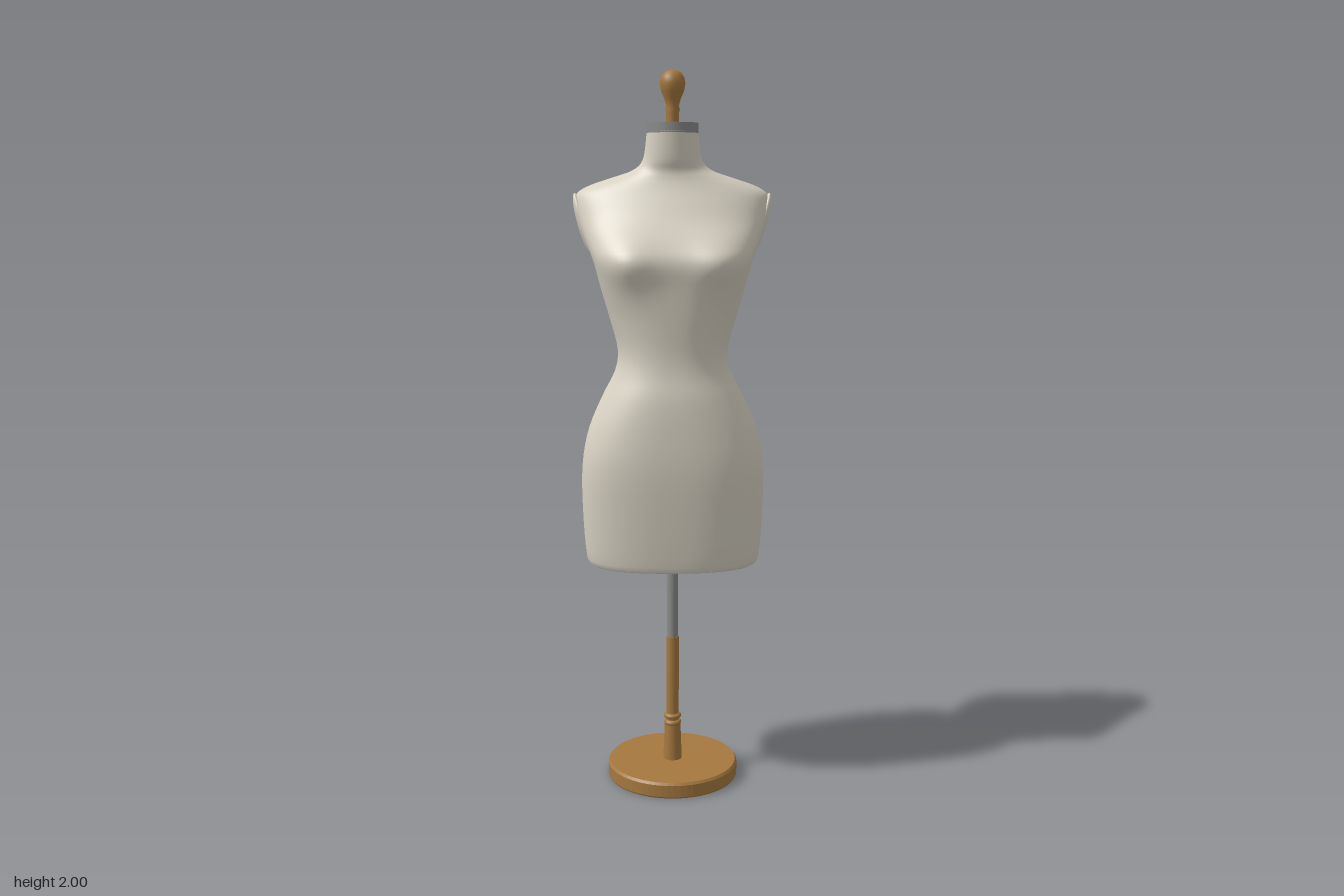
import * as THREE from 'three';

const fabric = new THREE.MeshStandardMaterial({ color: 0xd8d2c3 });
fabric.name = 'cream fabric';
const metal = new THREE.MeshStandardMaterial({ color: 0x8a8a89 });
metal.name = 'grey metal';
const wood = new THREE.MeshStandardMaterial({ color: 0xa5783f });
wood.name = 'warm wood';

// Torso sections: y, half width, front z, back z, z of widest point, front and back squareness
const SECTIONS = [
  [0.645, 0.225, 0.150, -0.165, 0.00, 2.4, 2.4],
  [0.66, 0.243, 0.158, -0.180, 0.00, 2.5, 2.4],
  [0.80, 0.253, 0.173, -0.187, 0.01, 2.5, 2.3],
  [0.93, 0.252, 0.183, -0.187, 0.02, 2.5, 2.3],
  [1.03, 0.233, 0.182, -0.172, 0.02, 2.4, 2.3],
  [1.12, 0.195, 0.176, -0.140, 0.02, 2.3, 2.2],
  [1.19, 0.160, 0.163, -0.103, 0.02, 2.3, 2.2],
  [1.25, 0.152, 0.160, -0.097, 0.02, 2.3, 2.2],
  [1.33, 0.172, 0.166, -0.115, 0.01, 2.4, 2.4],
  [1.42, 0.198, 0.174, -0.140, 0.00, 2.8, 2.5],
  [1.49, 0.217, 0.180, -0.152, -0.01, 3.2, 2.8],
  [1.54, 0.238, 0.157, -0.157, -0.03, 2.8, 3.0],
  [1.60, 0.260, 0.112, -0.157, -0.045, 2.3, 3.5],
  [1.65, 0.268, 0.080, -0.150, -0.055, 2.1, 4.0],
  [1.675, 0.260, 0.065, -0.143, -0.055, 2.0, 4.0],
  [1.695, 0.225, 0.055, -0.135, -0.055, 2.0, 3.5],
  [1.715, 0.165, 0.048, -0.122, -0.045, 2.0, 2.6],
  [1.735, 0.108, 0.046, -0.108, -0.03, 2.0, 2.0],
  [1.765, 0.080, 0.053, -0.090, -0.015, 2.0, 2.0],
  [1.837, 0.070, 0.060, -0.081, -0.01, 2.0, 2.0],
];

// Smooth curve through the sections at fractional index t
function sectionAt(t) {
  const last = SECTIONS.length - 1;
  const i = Math.min(Math.floor(t), last - 1);
  const f = t - i;
  const [p, a, b, q] = [i - 1, i, i + 1, i + 2].map((k) => SECTIONS[Math.max(0, Math.min(last, k))]);
  return a.map((v, k) => v + 0.5 * f * (b[k] - p[k]
    + f * (2 * p[k] - 5 * v + 4 * b[k] - q[k] + f * (3 * (v - b[k]) + q[k] - p[k]))));
}

function torsoGeometry() {
  const around = 96, steps = 4, rows = (SECTIONS.length - 1) * steps;
  const pos = [], index = [];
  for (let r = 0; r <= rows; r++) {
    const [y, w, zf, zb, zc, nf, nb] = sectionAt(r / steps);
    for (let j = 0; j < around; j++) {
      const a = (j / around) * Math.PI * 2;
      const c = Math.cos(a), s = Math.sin(a);
      const n = s >= 0 ? nf : nb;
      const x = w * Math.sign(c) * Math.abs(c) ** (2 / n);
      let z = zc + (s >= 0 ? zf - zc : zb - zc) * Math.abs(s) ** (2 / n);
      // Bust fullness on both sides of the front
      if (s > 0) z += 0.026 * s * Math.exp(-((Math.abs(x) - 0.13) ** 2 + (y - 1.49) ** 2) / 0.005);
      pos.push(x, y, z);
    }
  }
  for (let r = 0; r < rows; r++) {
    for (let j = 0; j < around; j++) {
      const a = r * around + j, b = r * around + (j + 1) % around;
      index.push(a, a + around, b, b, a + around, b + around);
    }
  }
  // Flat underside with its own vertices for a sharp rim
  const base = pos.length / 3;
  pos.push(...pos.slice(0, around * 3), 0, SECTIONS[0][0], 0);
  for (let j = 0; j < around; j++) index.push(base + around, base + j, base + (j + 1) % around);
  const g = new THREE.BufferGeometry();
  g.setAttribute('position', new THREE.Float32BufferAttribute(pos, 3));
  g.setIndex(index);
  g.computeVertexNormals();
  return g;
}

export function createModel() {
  const model = new THREE.Group();
  model.name = 'dressForm';

  function add(name, geometry, material, x = 0, y = 0, z = 0) {
    const mesh = new THREE.Mesh(geometry, material);
    mesh.name = name;
    mesh.position.set(x, y, z);
    model.add(mesh);
    return mesh;
  }
  const cylinder = (name, rTop, rBottom, y0, y1, material, z = 0) =>
    add(name, new THREE.CylinderGeometry(rTop, rBottom, y1 - y0, 48), material, 0, (y0 + y1) / 2, z);

  // Body
  add('torso', torsoGeometry(), fabric);
  for (const side of [1, -1]) {
    const cap = add(side > 0 ? 'leftArmCap' : 'rightArmCap',
      new THREE.SphereGeometry(1, 32, 24), fabric, side * 0.245, 1.587, -0.055);
    cap.scale.set(0.016, 0.09, 0.056);
    cap.rotation.z = -side * 0.28;
  }

  // Neck plate and turned finial
  cylinder('neckPlate', 0.071, 0.071, 1.833, 1.86, metal, -0.011);
  const finial = [[0.017, 1.855], [0.017, 1.885], [0.02, 1.895], [0.017, 1.905], [0.023, 1.925], [0.031, 1.943], [0.035, 1.963],
    [0.032, 1.98], [0.024, 1.992], [0.012, 1.998], [0, 2]];
  add('finial', new THREE.LatheGeometry(finial.map(([r, y]) => new THREE.Vector2(r, y)), 32), wood, 0, 0, -0.004);

  // Stand
  cylinder('metalPole', 0.016, 0.016, 0.41, 0.66, metal);
  cylinder('woodPole', 0.018, 0.018, 0.15, 0.415, wood);
  cylinder('poleSocket', 0.023, 0.027, 0.04, 0.15, wood);
  for (const y of [0.155, 0.175]) {
    const ring = add('collarRing', new THREE.TorusGeometry(0.017, 0.008, 12, 40), wood, 0, y, 0);
    ring.rotation.x = Math.PI / 2;
  }
  const base = [[0, 0], [0.185, 0], [0.185, 0], [0.187, 0.004], [0.187, 0.038], [0.182, 0.045], [0.182, 0.045], [0, 0.045]];
  add('roundBase', new THREE.LatheGeometry(base.map(([r, y]) => new THREE.Vector2(r, y)), 64).toNonIndexed(), wood)
    .geometry.computeVertexNormals();

  return model;
}
